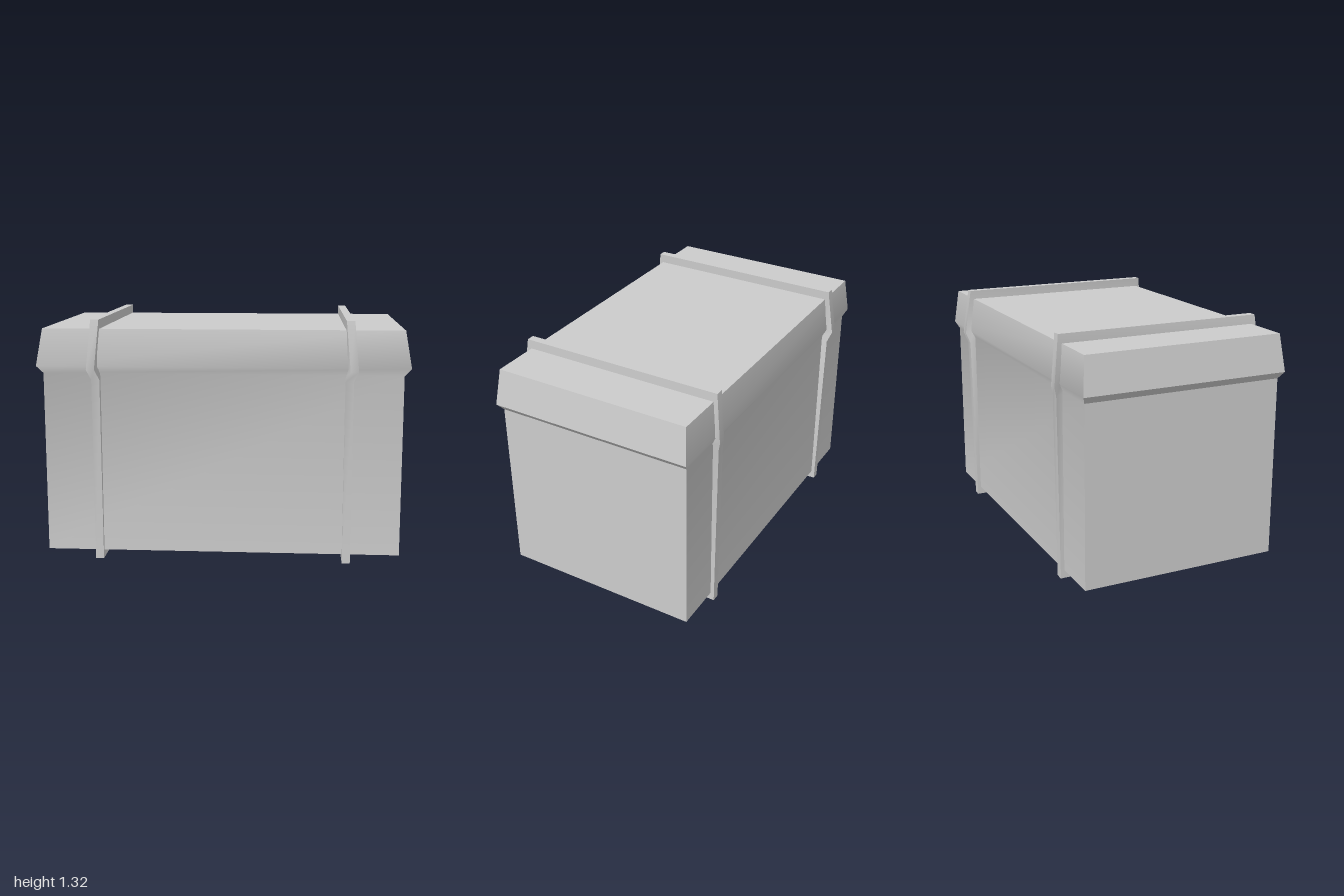
import * as THREE from 'three';
import { toCreasedNormals } from 'three/addons/utils/BufferGeometryUtils.js';

// Skins a series of four-cornered rings; closed joins last to first, otherwise the ends are capped.
function loft(rings, closed) {
  const pos = [];
  const quad = (a, b, c, d) => [a, b, c, a, c, d].forEach((p) => pos.push(...p));
  const n = rings.length;
  for (let i = 0; i < (closed ? n : n - 1); i++) {
    const r = rings[i], s = rings[(i + 1) % n];
    for (let j = 0; j < 4; j++) {
      const k = (j + 1) % 4;
      quad(r[j], r[k], s[k], s[j]);
    }
  }
  if (!closed) {
    quad(...rings[n - 1]);
    quad(...rings[0].slice().reverse());
  }
  const geo = new THREE.BufferGeometry();
  geo.setAttribute('position', new THREE.Float32BufferAttribute(pos, 3));
  return toCreasedNormals(geo, 0.63);
}

export function createModel() {
  const group = new THREE.Group();
  const material = new THREE.MeshStandardMaterial({ color: 0xcccccc });
  const add = (name, geo) => {
    const mesh = new THREE.Mesh(geo, material);
    mesh.name = name;
    group.add(mesh);
  };

  // Chest body with the flared lid rim: height, half width, half depth
  const body = [
    [0.045, 0.965, 0.555],
    [1.03, 0.965, 0.555],
    [1.07, 1.0, 0.575],
    [1.27, 0.965, 0.555],
  ].map(([y, x, z]) => [[-x, y, z], [x, y, z], [x, y, -z], [-x, y, -z]]);
  add('chestBody', loft(body, false));

  // Strap section up the front: outer y, outer z, inner y, inner z, outer and inner sideways kink
  const side = [
    [0, 0.575, 0.06, 0.53, 0, 0],
    [1.0, 0.588, 1.02, 0.54, 0, 0],
    [1.055, 0.607, 1.07, 0.56, 0.024, 0.01],
    [1.32, 0.575, 1.25, 0.53, 0, 0],
  ];
  // Mirrored down the back to make a full loop
  const loop = [
    ...side,
    ...side.slice().reverse().map(([oy, oz, iy, iz, ok, ik]) => [oy, -oz, iy, -iz, ok, ik]),
  ];
  for (const s of [-1, 1]) {
    const rings = loop.map(([oy, oz, iy, iz, ok, ik]) => {
      const o = s * (0.677 + ok), i = s * (0.677 + ik), h = 0.022;
      return [[o - h, oy, oz], [o + h, oy, oz], [i + h, iy, iz], [i - h, iy, iz]];
    });
    add(s > 0 ? 'leftStrap' : 'rightStrap', loft(rings, true));
  }
  return group;
}
